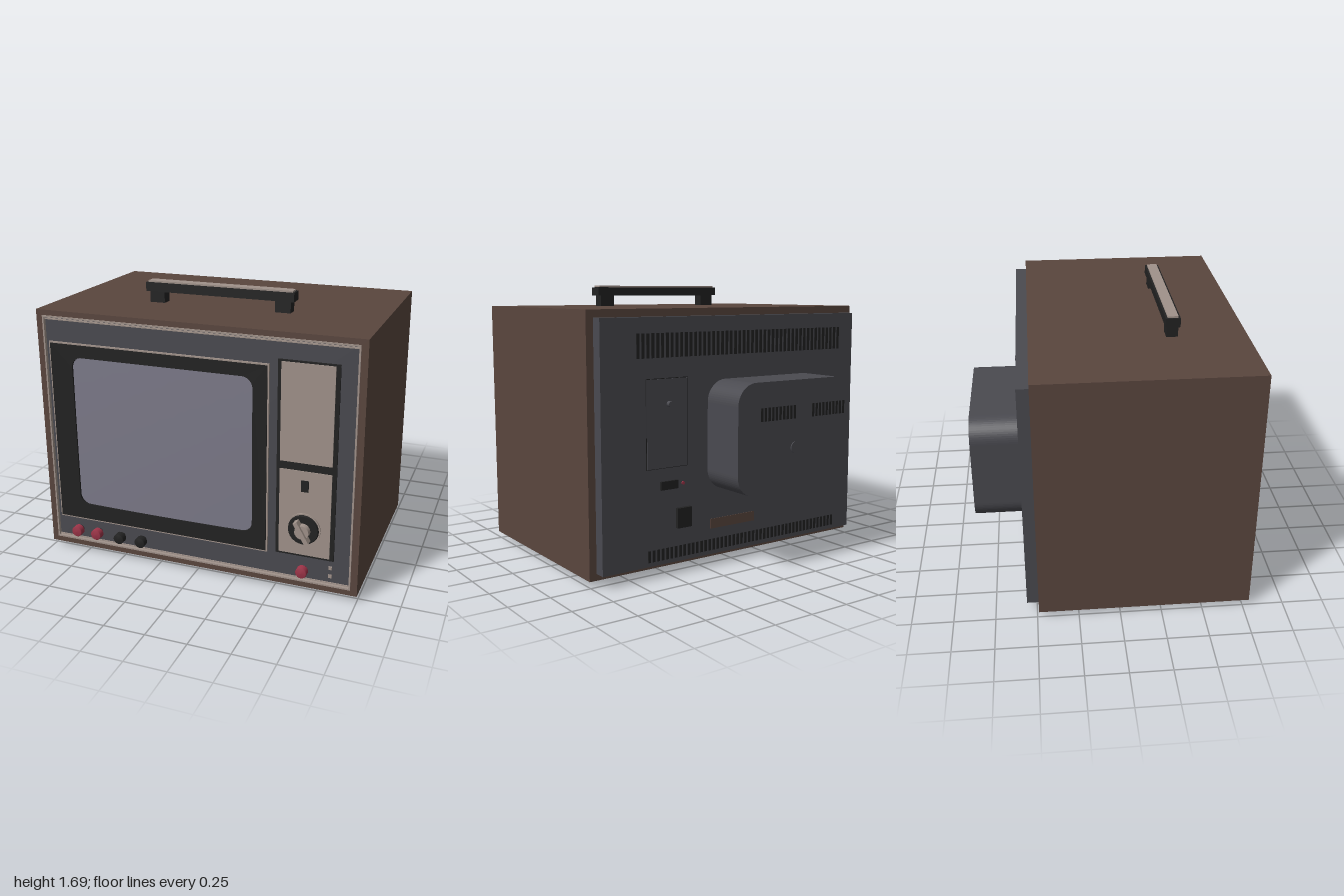
import * as THREE from 'three';

const mat = (name, color) => Object.assign(new THREE.MeshStandardMaterial({ color }), { name });

export function createModel() {
  const brown = mat('brown cabinet', 0x5a463e);
  const grey = mat('charcoal panel', 0x4a4a50);
  const black = mat('black plastic', 0x222222);
  const tan = mat('warm metal', 0xa0928a);
  const glass = mat('screen glass', 0x7c7a89);
  const red = mat('red plastic', 0x9c3448);

  const model = new THREE.Group();
  model.name = 'portableTelevision';

  const add = (name, geometry, material, x = 0, y = 0, z = 0) => {
    const mesh = new THREE.Mesh(geometry, material);
    mesh.name = name;
    mesh.position.set(x, y, z);
    model.add(mesh);
    return mesh;
  };
  // Box given by its limits on each axis
  const box = (name, material, x0, x1, y0, y1, z0, z1) =>
    add(name, new THREE.BoxGeometry(x1 - x0, y1 - y0, z1 - z0), material,
      (x0 + x1) / 2, (y0 + y1) / 2, (z0 + z1) / 2);
  // Rectangle outline with optional round corners
  const outline = (target, x0, x1, y0, y1, r = 0) => {
    if (!r) {
      target.moveTo(x0, y0).lineTo(x1, y0).lineTo(x1, y1).lineTo(x0, y1).closePath();
      return target;
    }
    target.moveTo(x0 + r, y0).lineTo(x1 - r, y0);
    target.absarc(x1 - r, y0 + r, r, -Math.PI / 2, 0);
    target.absarc(x1 - r, y1 - r, r, 0, Math.PI / 2);
    target.absarc(x0 + r, y1 - r, r, Math.PI / 2, Math.PI);
    target.absarc(x0 + r, y0 + r, r, Math.PI, Math.PI * 1.5);
    return target;
  };
  // Slab or frame extruded along z
  const slab = (name, material, outer, inner, z0, z1) => {
    const shape = outline(new THREE.Shape(), ...outer);
    if (inner) shape.holes.push(outline(new THREE.Path(), ...inner));
    const g = new THREE.ExtrudeGeometry(shape, { depth: z1 - z0, bevelEnabled: false, curveSegments: 8 });
    return add(name, g, material, 0, 0, z0);
  };
  const frame = (name, material, x0, x1, y0, y1, w, z0, z1) =>
    slab(name, material, [x0, x1, y0, y1], [x0 + w, x1 - w, y0 + w, y1 - w], z0, z1);
  // Disc with its axis along z
  const disc = (name, material, x, y, r, z0, z1, r1 = r) => {
    const g = new THREE.CylinderGeometry(r1, r, z1 - z0, 24).rotateX(Math.PI / 2);
    return add(name, g, material, x, y, (z0 + z1) / 2);
  };

  // Cabinet with a shallow recess in front
  box('cabinet', brown, -1, 1, 0.035, 1.56, -0.49, 0.75);
  slab('cabinetRim', brown, [-1, 1, 0.035, 1.56], [-0.96, 0.96, 0.07, 1.527], 0.75, 0.79);
  box('frontPanel', grey, -0.96, 0.96, 0.07, 1.527, 0.745, 0.775);
  frame('frontTrim', tan, -0.96, 0.96, 0.07, 1.527, 0.01, 0.77, 0.795);
  box('topTrim', tan, -0.95, 0.95, 1.502, 1.51, 0.77, 0.785);
  box('bottomTrim', tan, -0.95, 0.95, 0.084, 0.09, 0.77, 0.782);

  // Screen surround and gently curved glass
  frame('screenTrim', tan, -0.93, 0.455, 0.22, 1.37, 0.009, 0.77, 0.786);
  slab('screenSurround', black, [-0.921, 0.446, 0.229, 1.361], [-0.78, 0.36, 0.33, 1.285, 0.065], 0.774, 0.79);
  const screen = new THREE.PlaneGeometry(1.18, 0.99, 16, 12);
  const p = screen.attributes.position;
  for (let i = 0; i < p.count; i++) {
    const u = p.getX(i) / 0.59, v = p.getY(i) / 0.5;
    p.setZ(i, 0.014 - 0.01 * u * u - 0.003 * v * v);
  }
  screen.computeVertexNormals();
  add('screen', screen, glass, -0.21, 0.8075, 0.775);

  // Control column
  box('controlColumn', black, 0.505, 0.855, 0.23, 1.405, 0.77, 0.784);
  for (const [y0, y1] of [[0.815, 1.395], [0.243, 0.767]]) {
    box('controlPlate', tan, 0.525, 0.83, y0, y1, 0.78, 0.789);
  }
  box('channelWindow', black, 0.654, 0.698, 0.643, 0.712, 0.785, 0.793);

  // Tuning dial with slanted grip
  disc('dialRim', tan, 0.675, 0.41, 0.1, 0.785, 0.797);
  disc('dialFace', black, 0.675, 0.41, 0.094, 0.79, 0.81, 0.088);
  disc('dialHub', tan, 0.675, 0.41, 0.046, 0.805, 0.84, 0.042);
  const grip = add('dialGrip', new THREE.BoxGeometry(0.026, 0.145, 0.05), tan, 0.675, 0.41, 0.832);
  grip.rotation.z = Math.PI / 6;

  // Row of push knobs with softly shaded edges
  const knobProfile = [[0.034, 0], [0.034, 0.036], [0.03, 0.041], [0, 0.043]]
    .map(([r, h]) => new THREE.Vector2(r, h));
  const knob = new THREE.LatheGeometry(knobProfile, 20).rotateX(Math.PI / 2);
  for (const [x, m] of [[-0.8, red], [-0.665, red], [-0.505, black], [-0.36, black], [0.675, red]]) {
    add('knob', knob, m, x, 0.145, 0.793);
    disc('knobStem', black, x, 0.145, 0.022, 0.77, 0.8);
  }
  for (const y of [0.13, 0.183]) box('indicator', tan, 0.826, 0.846, y - 0.01, y + 0.01, 0.77, 0.783);

  // Carrying handle
  box('handleBar', black, -0.47, 0.47, 1.628, 1.682, 0.303, 0.39);
  box('handleInlay', tan, -0.458, 0.458, 1.68, 1.692, 0.315, 0.378);
  for (const s of [-1, 1]) {
    const x = s * 0.4;
    box('handlePost', black, x - 0.048, x + 0.048, 1.555, 1.63, 0.312, 0.381);
    // Feet below each side
    for (const z of [-0.355, 0.665]) {
      box('foot', black, s * 0.845 - 0.065, s * 0.845 + 0.065, 0, 0.036, z - 0.043, z + 0.043);
    }
  }

  // Rear cover and rounded tube housing
  box('rearCover', grey, -0.955, 0.955, 0.075, 1.515, -0.56, -0.48);
  slab('tubeHousing', grey, [-0.655, 0.23, 0.475, 1.14, 0.13], null, -0.85, -0.55);
  disc('housingScrew', grey, -0.205, 0.735, 0.036, -0.856, -0.845);

  // Rows of ventilation slots
  const slots = (name, x0, x1, y0, y1, z, count) => {
    const pitch = (x1 - x0) / count;
    for (let i = 0; i < count; i++) {
      const x = x0 + pitch * (i + 0.5);
      box(name, black, x - pitch * 0.3, x + pitch * 0.3, y0, y1, z - 0.003, z + 0.004);
    }
  };
  slots('upperVent', -0.84, 0.73, 1.285, 1.425, -0.56, 48);
  slots('lowerVent', -0.82, 0.66, 0.1, 0.17, -0.56, 48);
  slots('housingVent', -0.61, -0.33, 0.91, 0.99, -0.85, 10);
  slots('housingVent', -0.21, 0.07, 0.91, 0.99, -0.85, 10);

  // Rear access plate, sockets and label
  frame('accessPlateGap', black, 0.376, 0.664, 0.646, 1.169, 0.006, -0.562, -0.555);
  box('accessPlate', grey, 0.38, 0.66, 0.65, 1.165, -0.567, -0.555);
  disc('accessKnob', grey, 0.51, 1.02, 0.017, -0.592, -0.56);
  box('aerialSocket', black, 0.45, 0.57, 0.52, 0.57, -0.573, -0.555);
  disc('socketLight', red, 0.41, 0.545, 0.01, -0.568, -0.555);
  box('powerSocket', black, 0.36, 0.46, 0.28, 0.4, -0.583, -0.555);
  box('ratingLabel', brown, -0.13, 0.21, 0.235, 0.295, -0.564, -0.556);

  return model;
}
